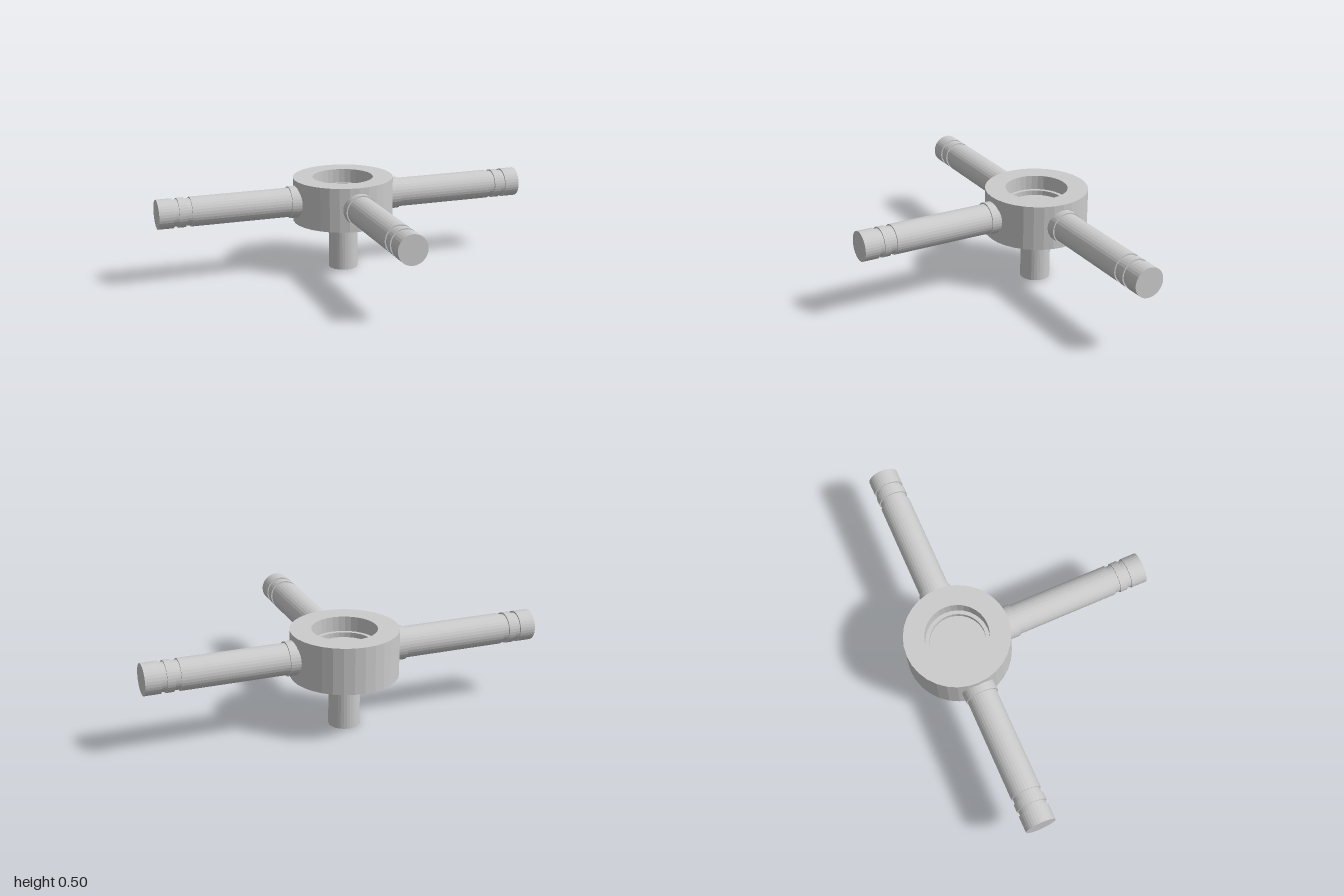
import * as THREE from 'three';

const SIDES = 32;
const HUB_Z = -0.368;
const ARM_Y = 0.381;

function lathe(name, points, material) {
  const profile = points.map(([r, y]) => new THREE.Vector2(r, y));
  const mesh = new THREE.Mesh(new THREE.LatheGeometry(profile, SIDES), material);
  mesh.name = name;
  return mesh;
}

export function createModel() {
  const model = new THREE.Group();
  model.name = 'threeArmHub';
  const grey = new THREE.MeshStandardMaterial({ color: 0xcccccc, flatShading: true });
  const greyOpen = grey.clone();
  greyOpen.side = THREE.DoubleSide;

  // Everything radiates from the hub axis
  const body = new THREE.Group();
  body.name = 'body';
  body.position.z = HUB_Z;
  model.add(body);

  // Round hub with a stepped recess in its top
  body.add(lathe('hub', [
    [0, 0.262], [0.265, 0.262], [0.265, 0.495], [0.16, 0.495],
    [0.16, 0.42], [0.14, 0.42], [0.14, 0.395], [0, 0.395],
  ], grey));

  // Hollow stem below the hub, open at the bottom
  body.add(lathe('stem', [[0.077, 0], [0.077, 0.27]], greyOpen));

  // Arm profile along its axis: collar, shaft, two grooves, end cap
  const armProfile = [
    [0.084, 0.2], [0.084, 0.302], [0.077, 0.302], [0.077, 0.828],
    [0.07, 0.828], [0.07, 0.858], [0.077, 0.858], [0.077, 0.895],
    [0.07, 0.895], [0.07, 0.92], [0.077, 0.92], [0.077, 1], [0, 1],
  ];
  const arms = [
    ['leftArm', 0, -Math.PI / 2],
    ['rightArm', 0, Math.PI / 2],
    ['frontArm', Math.PI / 2, 0],
  ];
  for (const [name, rx, rz] of arms) {
    const arm = lathe(name, armProfile, grey);
    arm.position.y = ARM_Y;
    arm.rotation.set(rx, 0, rz);
    body.add(arm);
  }

  return model;
}
